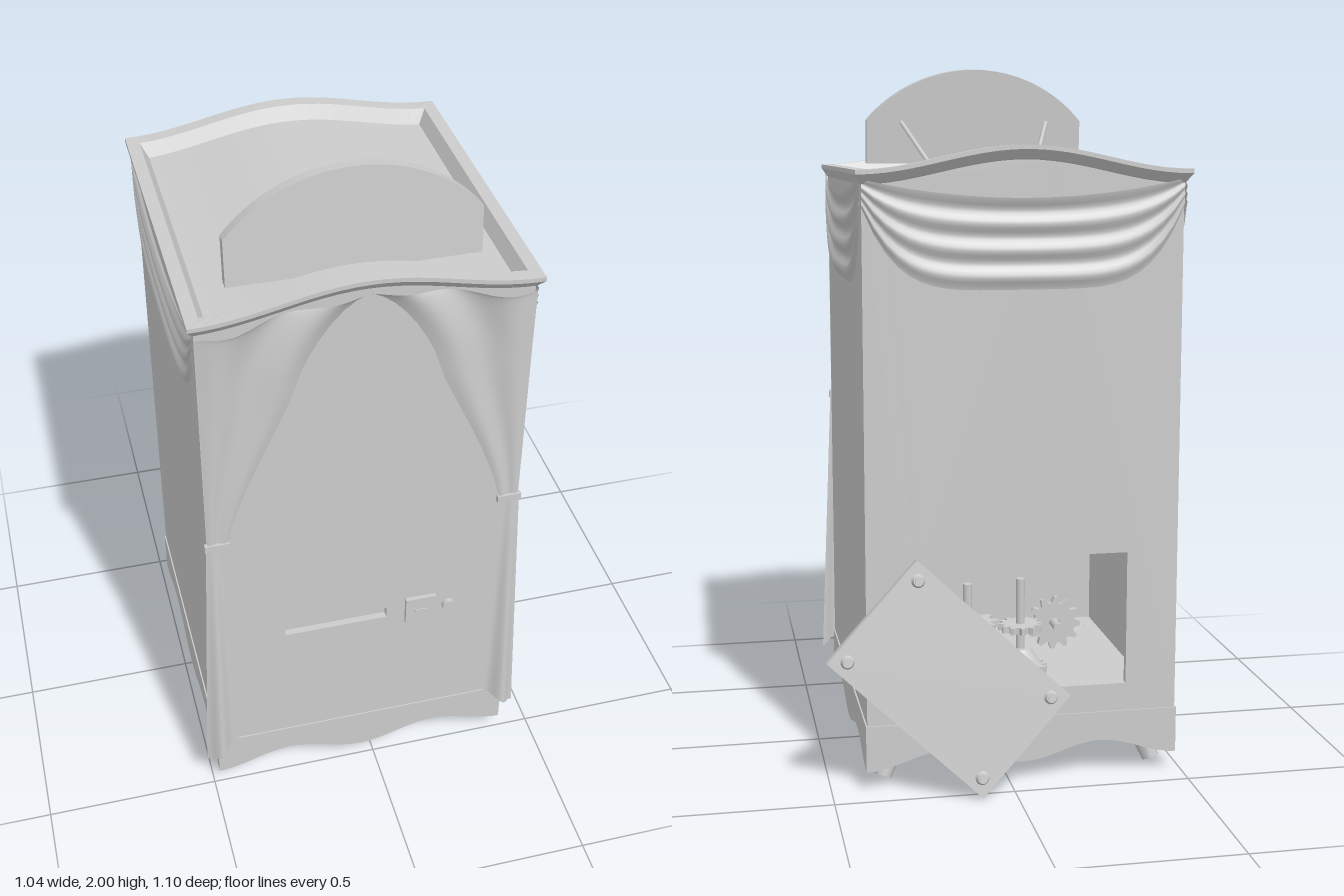
import * as THREE from 'three';

const GREY = new THREE.MeshStandardMaterial({ color: 0xcccccc });
const CLOTH = new THREE.MeshStandardMaterial({ color: 0xcccccc, side: THREE.DoubleSide });
const W = 0.44, D = 0.4625;            // cabinet half width and half depth
const FLOOR = 0.19;                    // top of the skirt
const lerp = THREE.MathUtils.lerp;

// serpentine crown line of the roof
const arch = x => 1.71 + 0.065 * (0.5 + 0.5 * Math.cos(Math.PI * x / 0.455));

function add(parent, name, geo, x = 0, y = 0, z = 0, mat = GREY) {
  const m = new THREE.Mesh(geo, mat);
  m.name = name;
  m.position.set(x, y, z);
  parent.add(m);
  return m;
}

const box = (w, h, d) => new THREE.BoxGeometry(w, h, d);
const extrude = (shape, depth) =>
  new THREE.ExtrudeGeometry(shape, { depth, bevelEnabled: false, curveSegments: 16 });

// surface from a rule fn(i, j) -> [x, y, z]
function surface(nu, nv, fn, flat) {
  const pos = [], idx = [];
  for (let j = 0; j <= nv; j++) for (let i = 0; i <= nu; i++) pos.push(...fn(i, j));
  for (let j = 0; j < nv; j++) for (let i = 0; i < nu; i++) {
    const a = j * (nu + 1) + i, d = a + nu + 1;
    idx.push(a, a + 1, d + 1, a, d + 1, d);
  }
  let g = new THREE.BufferGeometry();
  g.setAttribute('position', new THREE.Float32BufferAttribute(pos, 3));
  g.setIndex(idx);
  if (flat) g = g.toNonIndexed();
  g.computeVertexNormals();
  return g;
}

// outline between a lower rule and an upper rule
function band(hw, low, high, n = 32) {
  const pts = [];
  for (let i = 0; i <= n; i++) { const x = lerp(-hw, hw, i / n); pts.push(new THREE.Vector2(x, low(x))); }
  for (let i = n; i >= 0; i--) { const x = lerp(-hw, hw, i / n); pts.push(new THREE.Vector2(x, high(x))); }
  return new THREE.Shape(pts);
}

function rectHole(x0, x1, y0, y1) {
  return new THREE.Path([[x0, y0], [x0, y1], [x1, y1], [x1, y0]].map(p => new THREE.Vector2(...p)));
}

function strut(parent, name, a, b, r0, r1, sides) {
  const p = new THREE.Vector3(...a), q = new THREE.Vector3(...b);
  const m = add(parent, name, new THREE.CylinderGeometry(r1, r0, p.distanceTo(q), sides));
  m.position.copy(p).add(q).multiplyScalar(0.5);
  m.quaternion.setFromUnitVectors(new THREE.Vector3(0, 1, 0), q.sub(p).normalize());
}

function buildCabinet(g) {
  // arched front with a slot, arched back with a service opening
  const front = band(W, () => FLOOR, x => arch(x) - 0.037);
  front.holes.push(rectHole(-0.23, 0.07, 0.585, 0.62));
  add(g, 'frontWall', extrude(front, 0.02), 0, 0, D - 0.02);
  add(g, 'slotBack', box(0.34, 0.08, 0.01), -0.08, 0.6, D - 0.025);
  const back = band(W, () => FLOOR, x => arch(x) - 0.037);
  back.holes.push(rectHole(-0.295, 0.28, 0.27, 0.65));
  add(g, 'backWall', extrude(back, 0.02), 0, 0, -D);
  for (const s of [-1, 1])
    add(g, 'sideWall', box(0.02, 1.49, 2 * D - 0.04), s * (W - 0.01), FLOOR + 0.745, 0);
  add(g, 'floor', box(2 * W, 0.02, 2 * D), 0, FLOOR - 0.01, 0);

  // small plate and button on the front
  add(g, 'coinPlate', box(0.09, 0.09, 0.016), 0.17, 0.6, D + 0.004);
  add(g, 'coinSlot', box(0.035, 0.008, 0.006), 0.17, 0.6, D + 0.012);
  add(g, 'button', new THREE.CylinderGeometry(0.019, 0.019, 0.02, 16), 0.255, 0.595, D + 0.005).rotation.x = Math.PI / 2;

  // scalloped skirt
  for (let k = 0; k < 4; k++) {
    const hw = (k % 2 ? D : W) + 0.004, off = (k % 2 ? W : D) + 0.004;
    const wave = band(hw, x => 0.083 - 0.024 * Math.cos(2 * Math.PI * x / hw), () => FLOOR);
    const geo = extrude(wave, 0.025).translate(0, 0, off - 0.025);
    add(g, 'skirt', geo).rotation.y = k * Math.PI / 2;
  }
  // splayed legs
  for (const sx of [-1, 1]) for (const sz of [-1, 1])
    strut(g, 'leg', [sx * 0.39, 0.02, sz * 0.4], [sx * 0.335, 0.18, sz * 0.35], 0.024, 0.046, 8);
}

function buildRoof(g) {
  // rim profile: [half width, half depth, drop below the crown line]
  const rings = [[0.42, 0.44, 0.05], [0.442, 0.465, 0.037], [0.458, 0.487, 0.012], [0.458, 0.487, 0],
    [0.422, 0.446, 0], [0.398, 0.422, 0.045]];
  const n = 24, walk = [];
  for (let i = 0; i <= n; i++) walk.push([2 * i / n - 1, 1]);
  for (let i = n; i >= 0; i--) walk.push([2 * i / n - 1, -1]);
  walk.push(walk[0]);
  add(g, 'roofRim', surface(walk.length - 1, rings.length - 1, (i, j) => {
    const [hw, hd, drop] = rings[j], x = walk[i][0] * hw;
    return [x, arch(x) - drop, walk[i][1] * hd];
  }, true));
  add(g, 'roofDeck', extrude(band(0.425, x => arch(x) - 0.055, x => arch(x) - 0.04), 0.88), 0, 0, -0.44);

  // round-topped sign board, leaning back on two stays
  const r = 0.44, a = Math.asin(0.335 / r), s = new THREE.Shape();
  s.moveTo(-0.335, 0);
  s.lineTo(0.335, 0);
  s.absarc(0, 0.285 - r, r, Math.PI / 2 - a, Math.PI / 2 + a, false);
  add(g, 'signBoard', extrude(s, 0.033), 0, 1.715, 0.312).rotation.x = -0.08;
  for (const k of [-1, 1])
    strut(g, 'signStay', [k * 0.16, 1.71, 0.152], [k * 0.227, 1.84, 0.305], 0.007, 0.007, 8);
}

function buildCurtains(g) {
  const edge = new THREE.CatmullRomCurve3([[0, 1.69], [0.19, 1.25], [0.385, 0.975]]
    .map(([x, y]) => new THREE.Vector3(x, y, 0)), false, 'catmullrom', 0.2);
  const fold = s => 0.5 - 0.5 * Math.cos(2 * Math.PI * (s * 1.6 + 0.2));
  for (const k of [-1, 1]) {
    // upper drape, gathered to the tie
    add(g, 'upperCurtain', surface(24, 16, (i, j) => {
      const s = i / 24, t = j / 16, e = edge.getPoint(t);
      const x = lerp(0.44, e.x, s), flat = lerp(lerp(1.68, 0.985, t), e.y, s);
      const y = flat + (1 - t) * (arch(x) - 0.04 - flat);
      return [k * x, y, D + 0.006 + lerp(0.034, 0.004, t) * fold(s)];
    }), 0, 0, 0, CLOTH);
    // lower tail, flaring out to the hem
    add(g, 'lowerCurtain', surface(12, 8, (i, j) => {
      const s = i / 12, t = j / 8;
      const x = lerp(lerp(0.443, 0.48, t), lerp(0.382, 0.352, t), s);
      const y = lerp(0.98, lerp(0.13, 0.22, s), t);
      return [k * x, y, D + 0.008 + lerp(0.004, 0.034, t) * Math.sin(Math.PI * Math.min(1, s * 1.5)) ** 2];
    }), 0, 0, 0, CLOTH);
    add(g, 'curtainTie', box(0.068, 0.022, 0.014), k * 0.413, 0.978, D + 0.008);
  }
}

// pleated swags on both sides and the back
function buildSwags(g) {
  for (const [turn, hw, off] of [[1, D, W], [2, W, D], [3, D, W]]) {
    add(g, 'swag', surface(28, 24, (i, j) => {
      const u = i / 14 - 1, v = j / 24, sag = 1 - u * u;
      const top = 1.685 - 0.05 * sag, low = 1.39 + 0.22 * Math.abs(u) ** 5;
      const pleat = 0.5 - 0.5 * Math.cos(2 * Math.PI * 3.5 * v);
      return [u * hw, lerp(low, top, v), off + 0.004 + (0.005 + 0.01 * Math.sqrt(sag)) * pleat];
    }), 0, 0, 0, CLOTH).rotation.y = turn * Math.PI / 2;
  }
}

function gear(r, teeth, depth) {
  const pts = [];
  for (let i = 0; i < teeth * 4; i++) {
    const a = i * Math.PI / (2 * teeth), q = i % 4 < 2 ? r : r * 0.78;
    pts.push(new THREE.Vector2(q * Math.cos(a), q * Math.sin(a)));
  }
  const s = new THREE.Shape(pts);
  s.holes.push(new THREE.Path().absarc(0, 0, r * 0.2, 0, Math.PI * 2, true));
  return extrude(s, depth).translate(0, 0, -depth / 2);
}

// clockwork behind the service opening
function buildWorks(g) {
  const flat = [[0.08, 0.4, -0.2, 0.09, 10], [-0.083, 0.375, -0.17, 0.065, 12], [-0.083, 0.25, -0.17, 0.08, 14]];
  for (const [x, y, z, r, n] of flat) add(g, 'gear', gear(r, n, 0.02), x, y, z).rotation.x = Math.PI / 2;
  add(g, 'gearCone', new THREE.CylinderGeometry(0.03, 0.065, 0.05, 16), -0.083, 0.285, -0.17);
  add(g, 'uprightGear', gear(0.08, 12, 0.02), -0.2, 0.36, -0.1);
  add(g, 'uprightAxle', new THREE.CylinderGeometry(0.014, 0.014, 0.2, 10), -0.2, 0.36, -0.06).rotation.x = Math.PI / 2;
  for (const [x, z] of [[0.08, -0.2], [-0.083, -0.17]])
    add(g, 'shaft', new THREE.CylinderGeometry(0.013, 0.013, 0.33, 10), x, 0.355, z);
}

// loose service panel leaning against the back
function buildPanel(g) {
  const w = 0.575, h = 0.368, t = 0.032;
  add(g, 'panelBoard', box(w, h, t));
  for (const sx of [-1, 1]) for (const sy of [-1, 1]) {
    const x = sx * (w / 2 - 0.04), y = sy * (h / 2 - 0.04);
    add(g, 'screw', new THREE.CylinderGeometry(0.02, 0.014, 0.012, 12), x, y, -t / 2 - 0.005).rotation.x = Math.PI / 2;
    add(g, 'screwHead', new THREE.CylinderGeometry(0.01, 0.01, 0.008, 8), x, y, -t / 2 - 0.012).rotation.x = Math.PI / 2;
  }
  g.position.set(0.18, 0.334, -0.482);
  g.rotation.set(0.136, 0, 0.755);
}

export function createModel() {
  const model = new THREE.Group();
  model.name = 'booth';
  const part = (name, build, x, z) => {
    const g = new THREE.Group();
    g.name = name;
    g.position.set(x, 0, z);
    build(g);
    model.add(g);
  };
  part('cabinet', buildCabinet, -0.04, 0.042);
  part('roof', buildRoof, -0.04, 0.04);
  part('curtains', buildCurtains, -0.04, 0.042);
  part('swags', buildSwags, -0.04, 0.042);
  part('works', buildWorks, 0, 0);
  part('servicePanel', buildPanel, 0, 0);
  return model;
}
